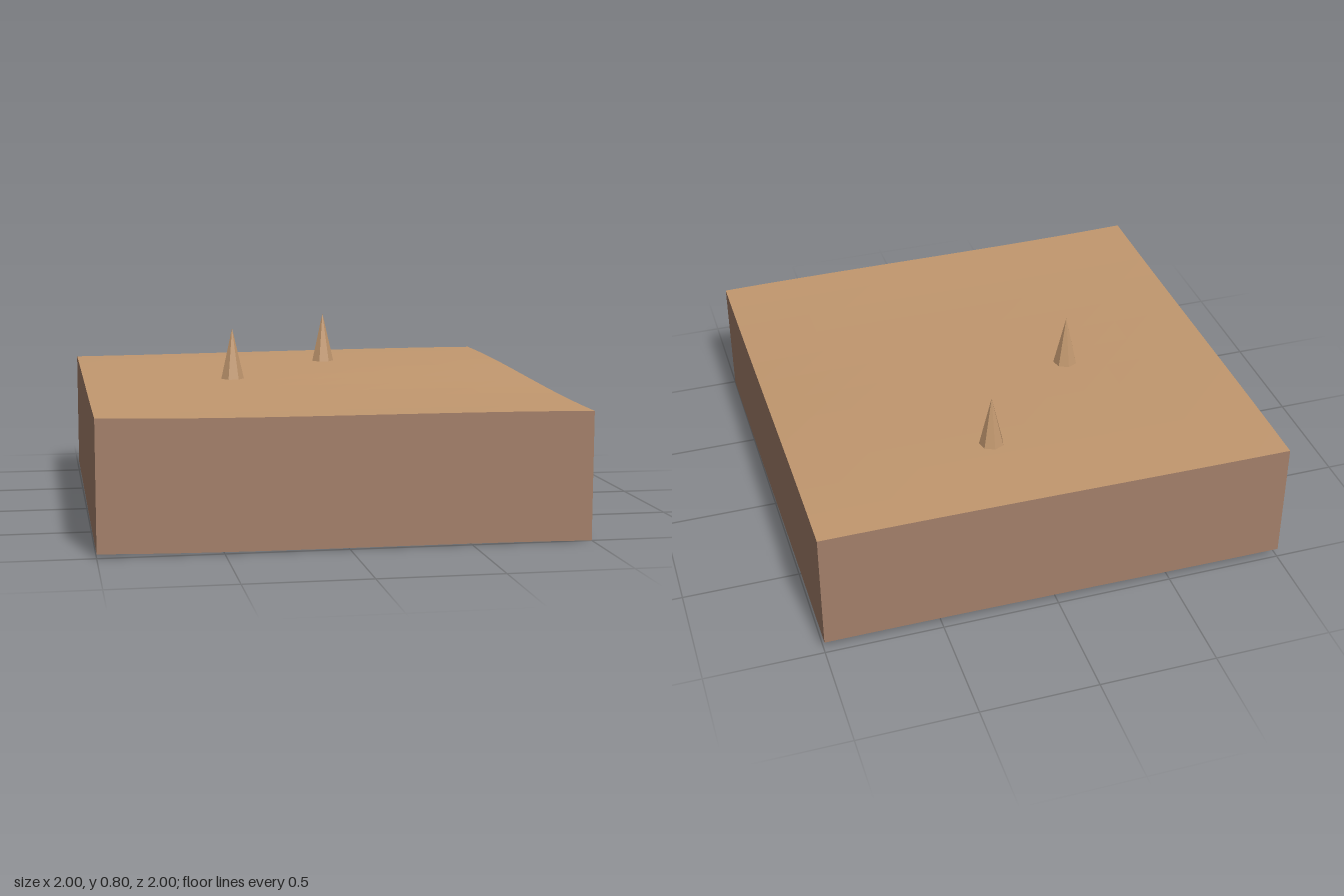
import * as THREE from 'three';

const WALL_HEIGHT = 0.532;
const SEGMENTS = 12;

// Gentle ground: a low front edge easing up to a higher back edge
function groundHeight(x, z) {
  const front = 0.5405 + 0.003 * x * x - 0.0085 * x ** 3;
  const back = 0.585 + 0.0105 * x - 0.002 * x * x - 0.0035 * x ** 3;
  return THREE.MathUtils.lerp(front, back, THREE.MathUtils.smoothstep(-z, -1, 1));
}

export function createModel() {
  const sand = new THREE.MeshStandardMaterial({ color: 0xc2986f, flatShading: true, side: THREE.DoubleSide });
  const earth = new THREE.MeshStandardMaterial({ color: 0xa37f69, flatShading: true, side: THREE.DoubleSide });
  const model = new THREE.Group();
  model.name = 'terrainBlock';

  const add = (name, geometry, material) => {
    const mesh = new THREE.Mesh(geometry, material);
    mesh.name = name;
    model.add(mesh);
    return mesh;
  };

  // Rolling top surface
  const ground = new THREE.PlaneGeometry(2, 2, SEGMENTS, SEGMENTS).rotateX(-Math.PI / 2);
  const gp = ground.attributes.position;
  for (let i = 0; i < gp.count; i++) gp.setY(i, groundHeight(gp.getX(i), gp.getZ(i)));
  ground.computeVertexNormals();
  add('ground', ground, sand);

  // Side walls hang a constant depth below the ground edge; the bottom is open
  ['frontWall', 'leftWall', 'backWall', 'rightWall'].forEach((name, k) => {
    const wall = new THREE.PlaneGeometry(2, 1, SEGMENTS, 1).translate(0, 0, 1).rotateY((k * Math.PI) / 2);
    const p = wall.attributes.position;
    for (let i = 0; i < p.count; i++) {
      const top = groundHeight(p.getX(i), p.getZ(i));
      p.setY(i, p.getY(i) > 0 ? top : top - WALL_HEIGHT);
    }
    wall.computeVertexNormals();
    add(name, wall, earth);
  });

  // Seven-sided spikes standing on the ground
  [[-0.335, -0.085], [0.165, -0.585]].forEach(([x, z], i) => {
    const spike = new THREE.ConeGeometry(0.053, 0.228, 7).rotateY(Math.PI).translate(0, 0.112, 0);
    add(`spike${i + 1}`, spike, sand).position.set(x, groundHeight(x, z), z);
  });

  return model;
}
